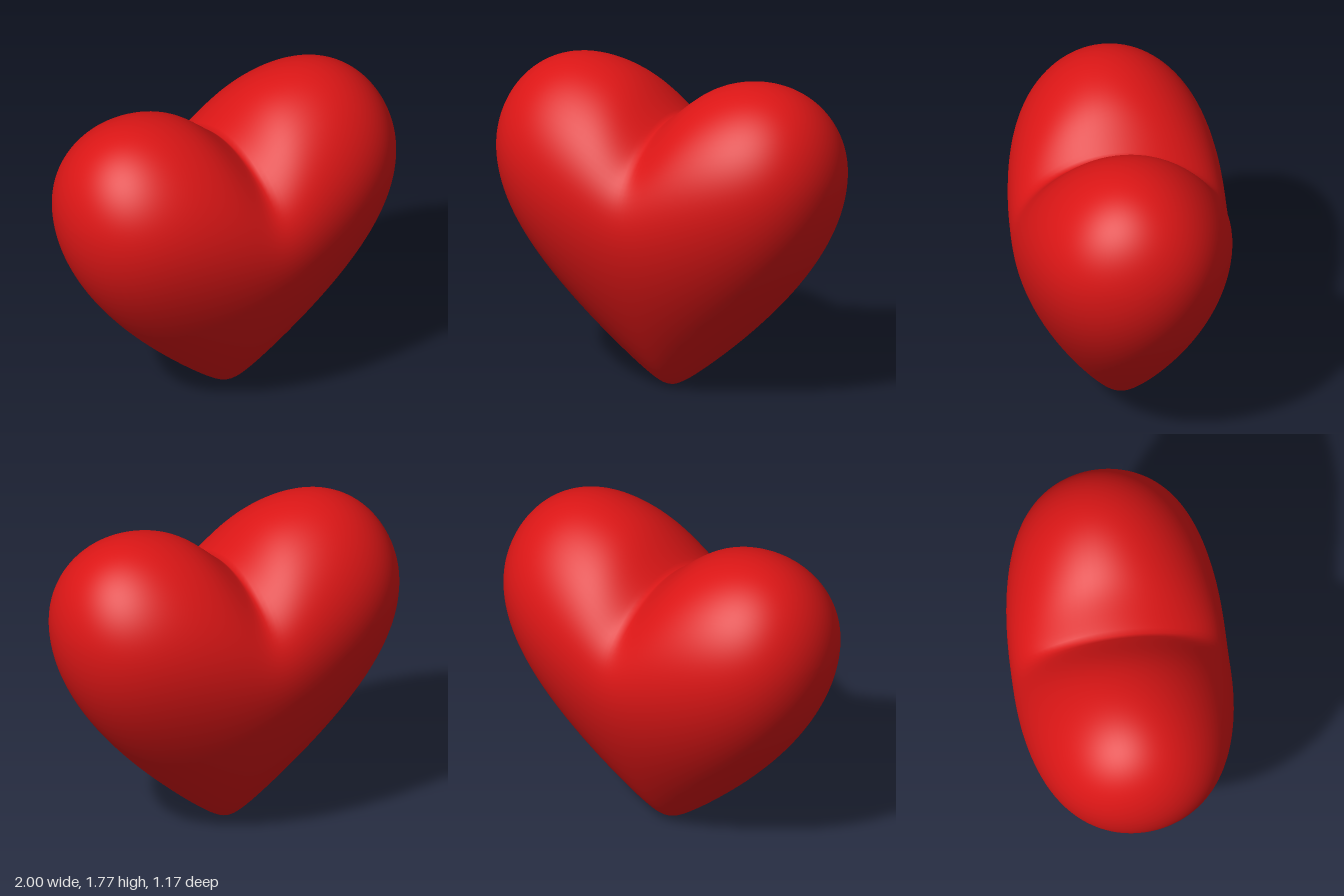
import * as THREE from 'three';
import { mergeVertices } from 'three/addons/utils/BufferGeometryUtils.js';

// Heart: a unit sphere sheared upwards by |x|, with a depth that tapers to the tip
function heartPoint(p) {
  const u = Math.abs(p.x);
  const r = Math.sqrt(Math.max(1 - u * u, 0));
  const w = r > 1e-6 ? (p.y / r + 1) / 2 : 0.5; // 0 at the underside, 1 at the top

  // Sharp fold in the cleft, rounded fold at the tip, smooth front and back
  const soft = 0.065 * Math.min(1, (1 - w) * 2) + 0.15 * (4 * w * (1 - w)) ** 2;
  const fold = Math.sqrt(u * u + soft * soft);
  const middle = 0.75 + 0.77 * fold - 0.25 * fold * fold;
  const height = 0.8 - 0.05 * w * w * Math.exp(-((u / 0.17) ** 2));

  // Full lobes at the sides
  const y = middle + height * p.y;
  const depth = (0.635 - 0.155 * (1.55 - y) ** 2) * (1 + 0.2 * u ** 3);
  p.set(p.x, y, p.z * depth);
}

export function createModel() {
  const group = new THREE.Group();
  group.name = 'heart';

  // Poles on the x axis, so that one ring of vertices follows the fold at x = 0
  let geometry = new THREE.SphereGeometry(1, 96, 128).rotateZ(Math.PI / 2);
  geometry.deleteAttribute('uv');
  geometry.deleteAttribute('normal');
  geometry = mergeVertices(geometry, 1e-5);

  const position = geometry.attributes.position;
  const p = new THREE.Vector3();
  for (let i = 0; i < position.count; i++) {
    p.fromBufferAttribute(position, i);
    heartPoint(p);
    position.setXYZ(i, p.x, p.y, p.z);
  }
  geometry.computeVertexNormals();

  // Rest the tip on the ground
  geometry.computeBoundingBox();
  geometry.translate(0, -geometry.boundingBox.min.y, 0);

  const body = new THREE.Mesh(geometry, new THREE.MeshStandardMaterial({ color: 0xdb1616 }));
  body.name = 'heartBody';
  group.add(body);
  return group;
}
